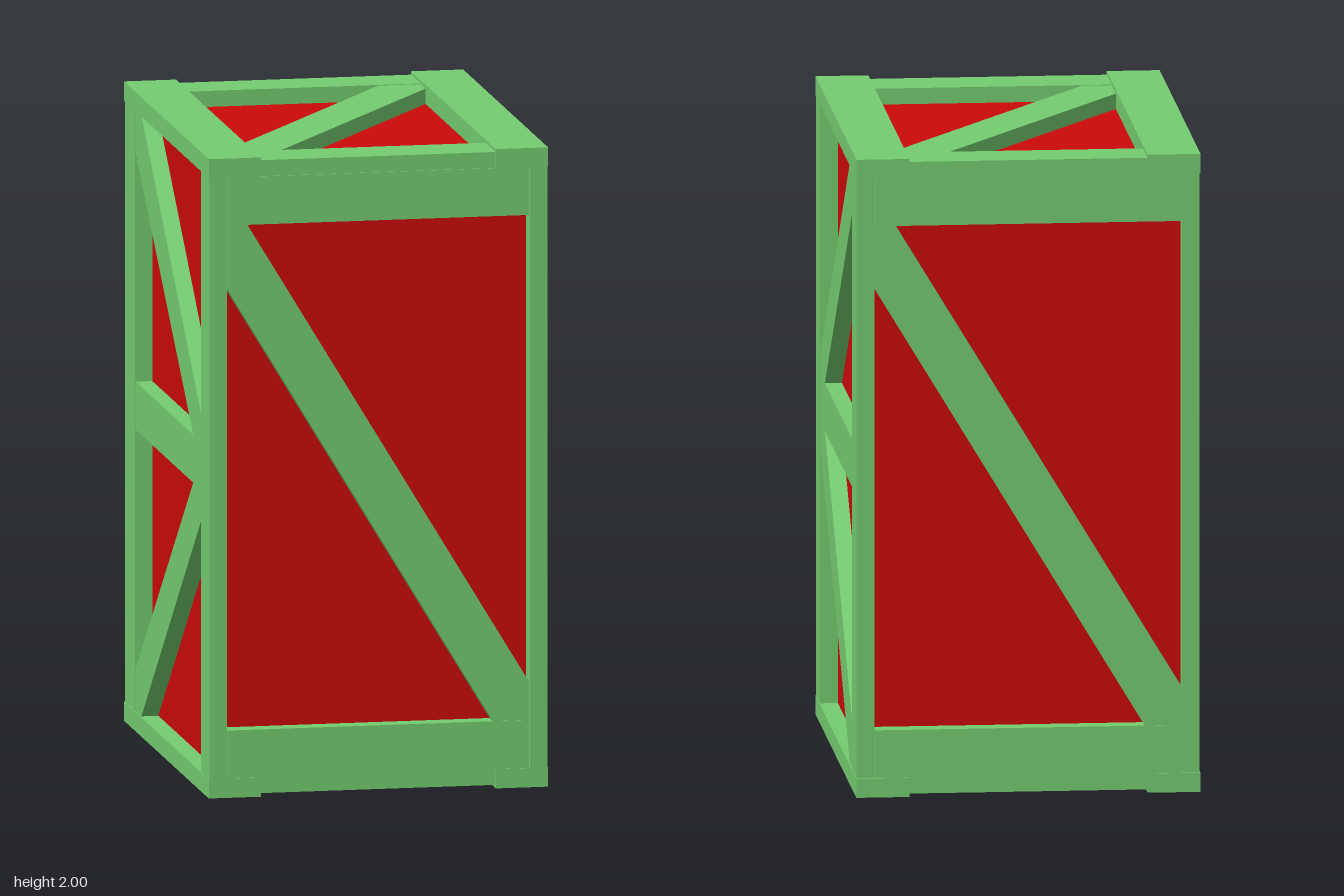
import * as THREE from 'three';

const wood = new THREE.MeshStandardMaterial({ color: 0x74cc70, flatShading: true });
const panel = new THREE.MeshStandardMaterial({ color: 0xcc0a0a, flatShading: true });

// A board cut to an outline in face coordinates, standing out by its thickness.
function board(name, points, thickness) {
  const shape = new THREE.Shape(points.map(([u, v]) => new THREE.Vector2(u, v)));
  const geometry = new THREE.ExtrudeGeometry(shape, { depth: thickness, bevelEnabled: false });
  const mesh = new THREE.Mesh(geometry, wood);
  mesh.name = name;
  return mesh;
}

const rect = (u0, u1, v0, v1) => [[u0, v0], [u1, v0], [u1, v1], [u0, v1]];

// Front or back: two rails and one brace.
function endFrame(name) {
  const g = new THREE.Group();
  g.name = name;
  g.add(
    board('upperRail', rect(-0.473, 0.473, 0.79, 0.94), 0.057),
    board('lowerRail', rect(-0.473, 0.473, -0.94, -0.79), 0.057),
    board('diagonalBrace', [[-0.473, 0.59], [0.36, -0.79], [0.473, -0.79], [0.473, -0.67],
      [-0.41, 0.79], [-0.473, 0.79]], 0.054)
  );
  return g;
}

// Side: two posts, a middle rail and two braces meeting at the front post.
function sideFrame(name, mirror) {
  const g = new THREE.Group();
  g.name = name;
  const add = (part, points, t) => g.add(board(part, points.map(([u, v]) => [u * mirror, v]), t));
  add('frontPost', rect(-0.68, -0.545, -0.94, 0.94), 0.055);
  add('backPost', rect(0.515, 0.672, -0.94, 0.94), 0.055);
  add('middleRail', rect(-0.545, 0.515, -0.06, 0.09), 0.053);
  add('upperBrace', [[-0.545, 0.09], [-0.41, 0.09], [0.515, 0.81], [0.515, 0.94],
    [0.42, 0.94], [-0.545, 0.17]], 0.053);
  add('lowerBrace', [[-0.545, -0.06], [-0.545, -0.15], [0.42, -0.94], [0.515, -0.94],
    [0.515, -0.81], [-0.41, -0.06]], 0.053);
  return g;
}

// Top or bottom: two long boards, two cross boards and one brace.
function capFrame(name) {
  const g = new THREE.Group();
  g.name = name;
  for (const s of [-1, 1]) {
    g.add(board('longBoard', rect(s * 0.368, s * 0.532, -0.68, 0.68), 0.06));
  }
  g.add(
    board('frontCrossBoard', rect(-0.368, 0.368, -0.673, -0.512), 0.05),
    board('backCrossBoard', rect(-0.368, 0.368, 0.523, 0.677), 0.05),
    board('diagonalBrace', [[-0.368, -0.512], [-0.275, -0.512], [0.368, 0.445], [0.368, 0.523],
      [0.235, 0.523], [-0.368, -0.375]], 0.048)
  );
  return g;
}

export function createModel() {
  const crate = new THREE.Group();
  crate.name = 'crate';

  // Solid inner box whose faces show as the recessed panels
  const core = new THREE.Mesh(new THREE.BoxGeometry(0.95, 1.88, 1.24), panel);
  core.name = 'innerPanels';
  core.position.y = 1;
  crate.add(core);

  // Frames on all six faces
  const place = (frame, position, rotation) => {
    frame.position.set(...position);
    frame.rotation.set(...rotation);
    crate.add(frame);
  };
  place(endFrame('frontFrame'), [0, 1, 0.62], [0, 0, 0]);
  place(endFrame('backFrame'), [0, 1, -0.62], [0, Math.PI, 0]);
  place(sideFrame('leftFrame', 1), [0.475, 1, 0], [0, Math.PI / 2, 0]);
  place(sideFrame('rightFrame', -1), [-0.475, 1, 0], [0, -Math.PI / 2, 0]);
  place(capFrame('topFrame'), [0, 1.94, 0], [-Math.PI / 2, 0, 0]);

  // The bottom is the top turned over about the front-to-back axis
  const base = new THREE.Group();
  base.name = 'base';
  const baseFrame = capFrame('bottomFrame');
  baseFrame.rotation.x = -Math.PI / 2;
  base.add(baseFrame);
  place(base, [0, 0.06, 0], [0, 0, Math.PI]);

  return crate;
}
